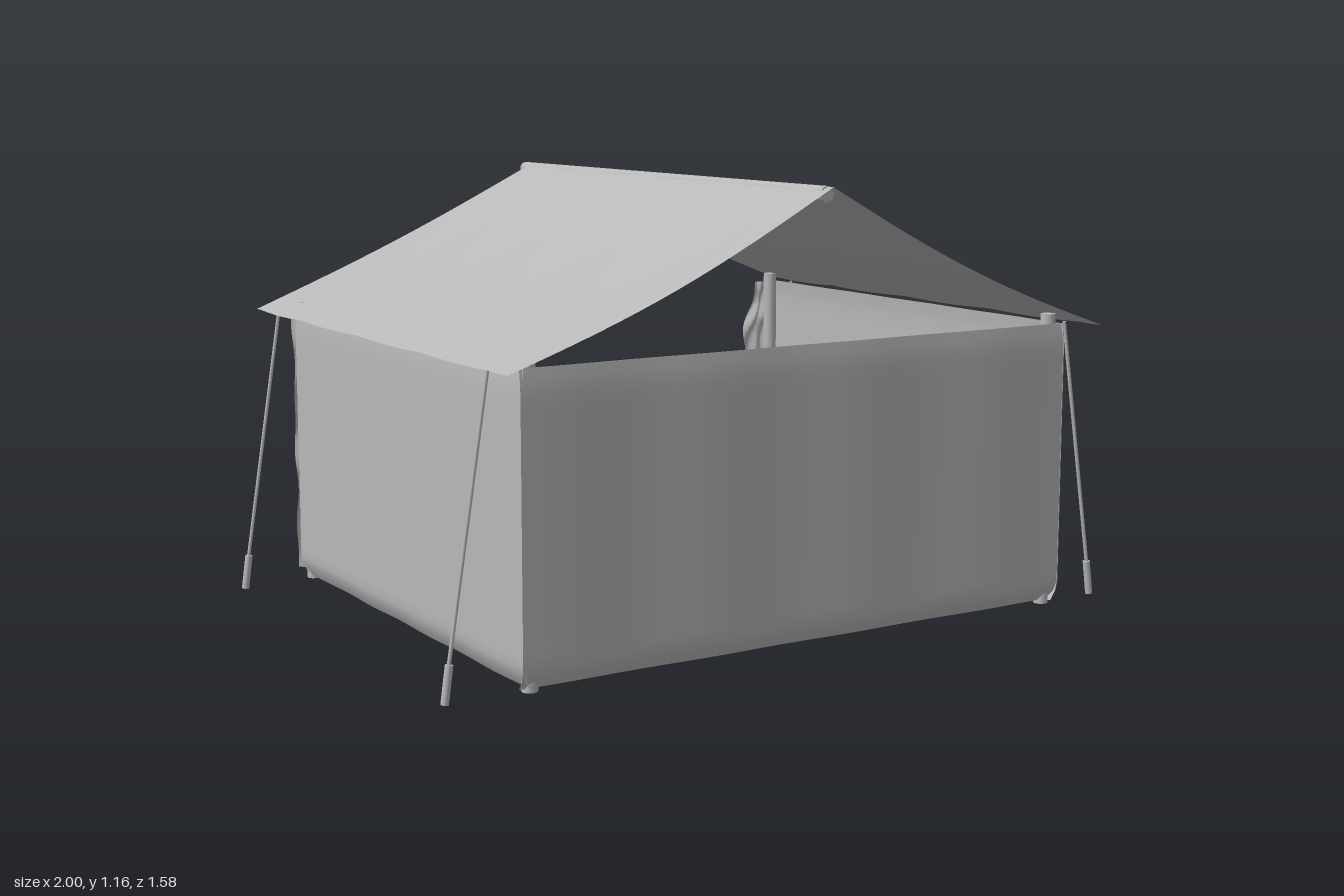
import * as THREE from 'three';

const canvas = new THREE.MeshStandardMaterial({ color: 0xb8b8b8, side: THREE.DoubleSide });
canvas.name = 'grey canvas';

// Cloth sheet: f(u, v) gives the point for u, v in 0..1
function sheet(name, nu, nv, f) {
  const geo = new THREE.PlaneGeometry(1, 1, nu, nv);
  const p = geo.attributes.position;
  for (let i = 0; i < p.count; i++) p.setXYZ(i, ...f(p.getX(i) + 0.5, p.getY(i) + 0.5));
  geo.computeVertexNormals();
  const mesh = new THREE.Mesh(geo, canvas);
  mesh.name = name;
  return mesh;
}

// Round bar between two points
function bar(name, a, b, r, sides = 12) {
  const A = new THREE.Vector3(...a), B = new THREE.Vector3(...b);
  const d = B.clone().sub(A);
  const mesh = new THREE.Mesh(new THREE.CylinderGeometry(r, r, d.length(), sides), canvas);
  mesh.position.copy(A).add(B).multiplyScalar(0.5);
  mesh.quaternion.setFromUnitVectors(new THREE.Vector3(0, 1, 0), d.normalize());
  mesh.name = name;
  return mesh;
}

// Roof slope height: sagging towards the middle of each panel
const seams = [-0.75, -0.73, -0.42, -0.055, 0.33, 0.70, 0.785];
function roofY(t, z) {
  let k = 0;
  while (k < seams.length - 2 && z > seams[k + 1]) k++;
  const w = seams[k + 1] - seams[k];
  const bulge = Math.sin(Math.PI * (z - seams[k]) / w) * Math.min(1, w / 0.3);
  const edge = z > 0.70 ? (z - 0.70) / 0.085 : 0;
  return 1.163 - 0.39 * t - Math.sin(Math.PI * t) * (0.014 + 0.016 * bulge + 0.015 * edge)
    - 0.004 * t * bulge;
}

// Wall offset inward: hems tuck in at the top and bottom
function tuck(v) {
  const low = Math.max(0, 1 - v / 0.07), high = Math.max(0, (v - 0.9) / 0.1);
  return 0.022 * low * low + 0.006 * high * high;
}

export function createModel() {
  const model = new THREE.Group();
  model.name = 'tent';

  for (const s of [-1, 1]) {
    const side = s > 0 ? 'left' : 'right';

    // Roof panels and the narrow seams between them
    for (let k = 0; k < seams.length - 1; k++) {
      const z0 = seams[k], z1 = seams[k + 1];
      model.add(sheet(side + 'RoofPanel', 16, 10, (u, v) => {
        const z = z0 + (z1 - z0) * v;
        return [s * 0.885 * u, roofY(u, z), z];
      }));
      if (k > 0) model.add(sheet(side + 'RoofSeam', 16, 1, (u, v) =>
        [s * 0.885 * u, roofY(u, z0) + 0.002, z0 + (v - 0.5) * 0.006]));
    }

    // Side wall
    model.add(sheet(side + 'Wall', 40, 30, (u, v) =>
      [s * (0.817 - tuck(v) + 0.002 * Math.sin(u * 24)), 0.02 + 0.755 * v, -0.635 + 1.35 * u]));

    // Gathered door curtain, wider at the foot
    model.add(sheet(side + 'Curtain', 24, 40, (u, v) => {
      const width = 0.06 + 0.12 * Math.pow(1 - v, 0.8) + 0.008 * Math.sin(v * 26);
      return [s * (0.815 - u * width), 0.035 + 0.735 * v,
        -0.66 + 0.013 * Math.sin(u * 13 + 5 * v) * Math.cos(v * 20 + u * 2)];
    }));

    // Corner poles, guy ropes and stakes
    for (const [z, ropeZ] of [[0.685, 0.655], [-0.62, -0.625]]) {
      model.add(bar('cornerPole', [s * 0.785, 0.01, z], [s * 0.785, 0.8, z], 0.02));
      model.add(bar('guyRope', [s * 0.87, 0.77, ropeZ], [s * 0.988, 0.03, ropeZ], 0.005, 8));
      model.add(bar('stake', [s * 0.977, 0.095, ropeZ], [s * 0.99, 0.002, ropeZ], 0.01, 10));
    }
  }

  // Front wall
  model.add(sheet('frontWall', 40, 30, (u, v) =>
    [-0.818 + 1.636 * u, 0.02 + 0.755 * v, 0.716 - tuck(v) + 0.002 * Math.sin(u * 24)]));

  // Ridge pole, projecting at the back
  model.add(bar('ridgePole', [0, 1.145, 0.76], [0, 1.145, -0.79], 0.02, 16));

  return model;
}
